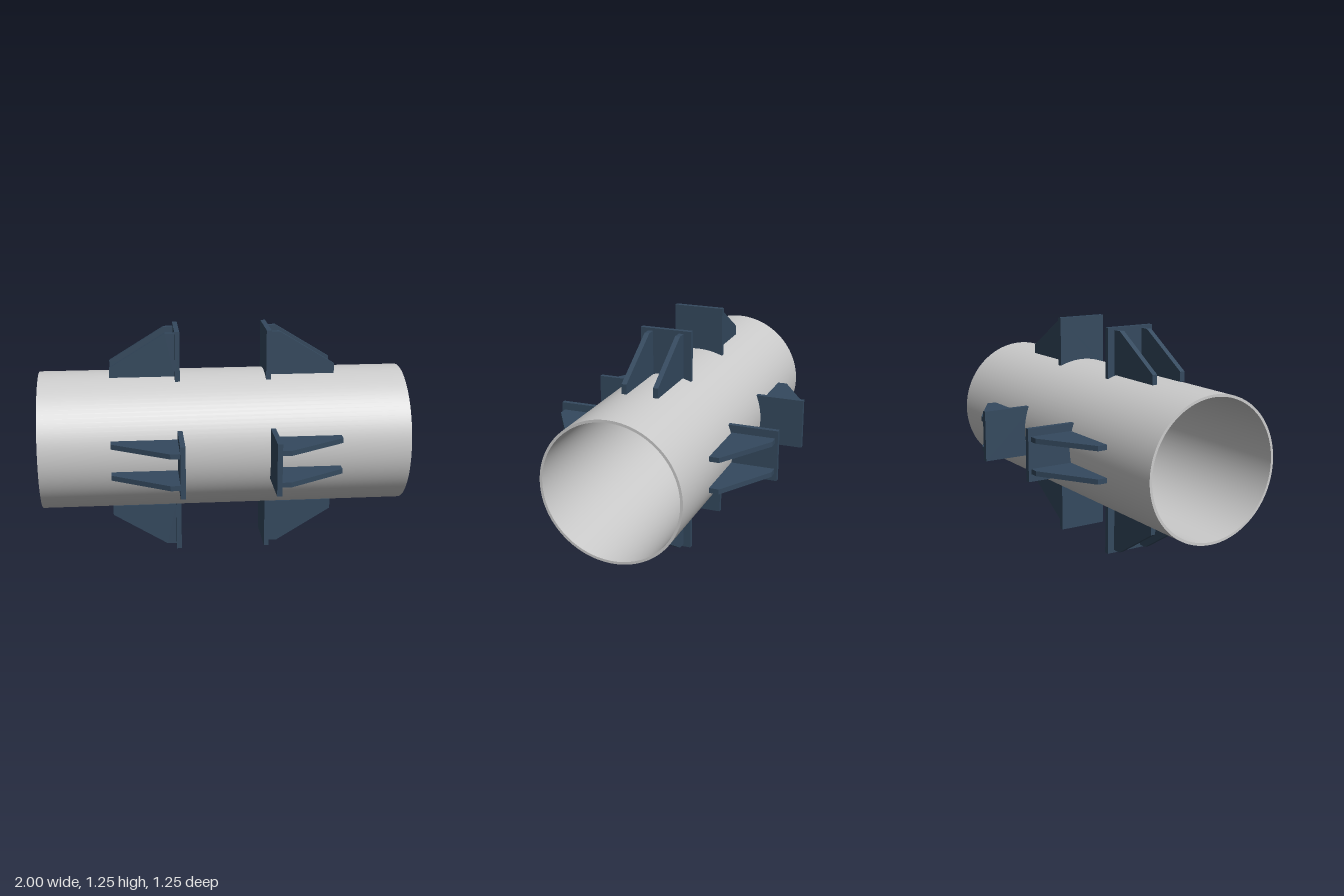
import * as THREE from 'three';
import { toCreasedNormals } from 'three/addons/utils/BufferGeometryUtils.js';

const RADIUS = 0.38, BORE = 0.366, LENGTH = 2;
const REACH = 0.626;       // pipe axis to outer edge of a plate
const HALF_WIDTH = 0.141;  // half the plate width
const PLATE_X = 0.235, THICK = 0.027;

const extrude = (shape, depth, curveSegments = 12) =>
  new THREE.ExtrudeGeometry(shape, { depth, curveSegments, bevelEnabled: false });

// Open pipe along x
function pipeGeometry() {
  const ring = new THREE.Shape().absarc(0, 0, RADIUS, 0, Math.PI * 2, false);
  ring.holes.push(new THREE.Path().absarc(0, 0, BORE, 0, Math.PI * 2, true));
  const geometry = extrude(ring, LENGTH, 48);
  geometry.translate(0, 0, -LENGTH / 2).rotateY(Math.PI / 2);
  return toCreasedNormals(geometry, Math.PI / 6);
}

// Upright plate whose lower edge is cut to the pipe's curve
function plateGeometry() {
  const a = Math.acos(HALF_WIDTH / RADIUS);
  const shape = new THREE.Shape();
  shape.moveTo(HALF_WIDTH, REACH);
  shape.lineTo(-HALF_WIDTH, REACH);
  shape.absarc(0, 0, RADIUS, Math.PI - a, a, true);
  shape.closePath();
  return extrude(shape, THICK).rotateY(Math.PI / 2).translate(PLATE_X, 0, 0);
}

// Tapered rib that braces the plate against the pipe
function gussetGeometry() {
  const back = PLATE_X + THICK;
  const shape = new THREE.Shape([
    [back, 0.372], [0.615, 0.372], [0.615, 0.425], [0.312, 0.611], [back, 0.611],
  ].map(([x, y]) => new THREE.Vector2(x, y)));
  return extrude(shape, THICK).translate(0, 0, -THICK / 2);
}

export function createModel() {
  const model = new THREE.Group();
  model.name = 'pipeWithStops';
  const grey = new THREE.MeshStandardMaterial({ color: 0xcccccc });
  const blue = new THREE.MeshStandardMaterial({ color: 0x34495e });
  const plate = plateGeometry(), gusset = gussetGeometry();

  const add = (parent, name, geometry, material) => {
    const mesh = new THREE.Mesh(geometry, material);
    mesh.name = name;
    parent.add(mesh);
    return mesh;
  };

  add(model, 'pipe', pipeGeometry(), grey).position.y = REACH;

  // Four braced stops around the pipe, mirrored to both ends
  for (let quarter = 0; quarter < 4; quarter++) {
    const pair = new THREE.Group();
    pair.name = 'stopPair';
    pair.position.y = REACH;
    pair.rotation.x = quarter * Math.PI / 2;
    for (const turn of [0, Math.PI]) {
      const stop = new THREE.Group();
      stop.name = turn ? 'rightStop' : 'leftStop';
      stop.rotation.y = turn;
      add(stop, 'plate', plate, blue);
      for (const side of [-1, 1]) add(stop, 'gusset', gusset, blue).position.z = side * 0.086;
      pair.add(stop);
    }
    model.add(pair);
  }
  return model;
}
